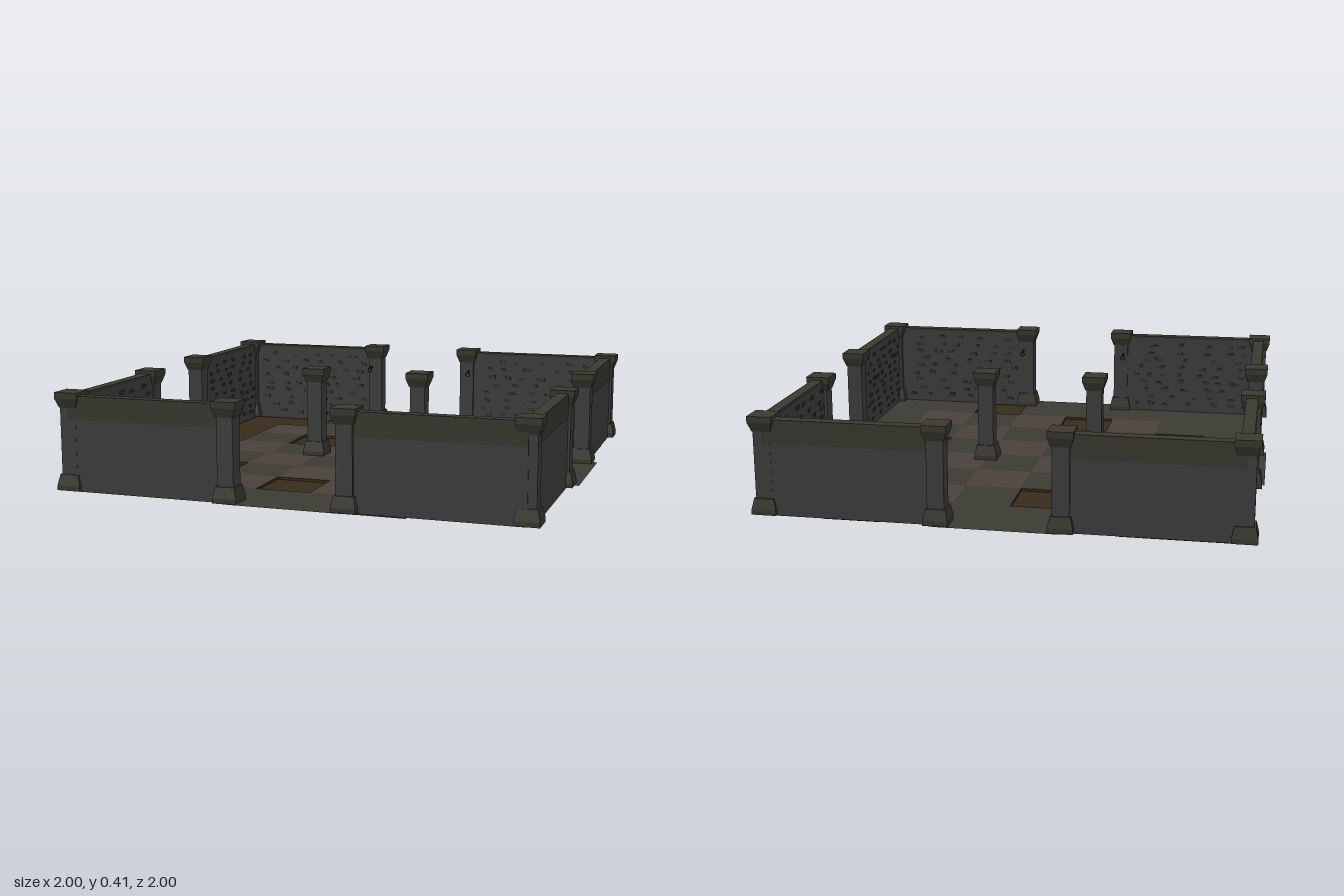
import * as THREE from 'three';
import { mergeGeometries } from 'three/addons/utils/BufferGeometryUtils.js';

const mat = (color, side = THREE.FrontSide) =>
  new THREE.MeshStandardMaterial({ color, side, flatShading: true });
const wallMat = mat(0x404040);
const stoneMat = mat(0x333333);
const trimMat = mat(0x3a3a30);
const metalMat = mat(0x262622);
const slabMat = mat(0x3b3b33, THREE.DoubleSide);
const paleMat = mat(0x4a413c, THREE.DoubleSide);
const dirtMat = mat(0x382b1a, THREE.DoubleSide);

const FLOOR = 0.012, PIT = 0.001;

function mesh(name, geometry, material) {
  const m = new THREE.Mesh(geometry, material);
  m.name = name;
  return m;
}

// box given by its lower and upper limits
function box(x0, x1, y0, y1, z0, z1) {
  return new THREE.BoxGeometry(x1 - x0, y1 - y0, z1 - z0)
    .translate((x0 + x1) / 2, (y0 + y1) / 2, (z0 + z1) / 2);
}

function plane(x0, x1, z0, z1, y) {
  return new THREE.PlaneGeometry(x1 - x0, z1 - z0).rotateX(-Math.PI / 2)
    .translate((x0 + x1) / 2, y, (z0 + z1) / 2);
}

function seeded(seed) {
  return () => (seed = (seed * 16807) % 2147483647) / 2147483647;
}

// square turned solid from [half width, height] pairs
function squareLathe(profile) {
  const pts = profile.map(([r, y]) => new THREE.Vector2(r * Math.SQRT2, y));
  const g = new THREE.LatheGeometry(pts, 4).rotateY(Math.PI / 4).toNonIndexed();
  g.computeVertexNormals();
  return g;
}

const baseGeo = squareLathe([[0, 0.01], [0.05, 0.01], [0.05, 0.03], [0.04, 0.075], [0, 0.075]]);
const shaftGeo = box(-0.034, 0.034, 0.07, 0.355, -0.034, 0.034);
const capGeo = squareLathe([[0, 0.347], [0.037, 0.347], [0.05, 0.385], [0.05, 0.41], [0, 0.41]]);

function pillar(x, z) {
  const g = new THREE.Group();
  g.name = 'pillar';
  g.add(mesh('pillarBase', baseGeo, trimMat), mesh('pillarShaft', shaftGeo, wallMat),
    mesh('pillarCap', capGeo, trimMat));
  g.position.set(x, 0, z);
  return g;
}

// wall running along x with its outer face towards +z
function wall(x0, x1, outer, rand) {
  const g = new THREE.Group();
  g.name = 'wall';
  const inner = outer - 0.046;
  g.add(mesh('wallBody', box(x0, x1, 0.006, 0.385, inner, outer - 0.002), wallMat));
  g.add(mesh('wallTrim', mergeGeometries([
    box(x0, x1, 0.385, 0.397, inner - 0.002, outer),
    box(x0, x1, 0.3, 0.385, outer - 0.004, outer),
  ]), trimMat));
  // raised stones scattered over the inner face
  const stones = [];
  for (let row = 0; row < 9; row++) {
    for (let x = x0 + 0.05 + rand() * 0.06; x < x1 - 0.09; x += 0.06 + rand() * 0.08) {
      const y = 0.035 + row * 0.038 + rand() * 0.01;
      stones.push(box(x, x + 0.02 + rand() * 0.025, y, y + 0.01 + rand() * 0.008,
        inner - 0.004, inner + 0.002));
    }
  }
  g.add(mesh('raisedStones', mergeGeometries(stones), stoneMat));
  return g;
}

function floor() {
  const g = new THREE.Group();
  g.name = 'floor';
  const edge = [-0.95, -0.705, -0.47, -0.237, 0, 0.235, 0.47, 0.705, 0.95];
  // d marks a sunken dirt square
  const plan = ['dd....d.', 'd..d...d', 'd.d.....', '........',
    '......d.', '.d......', '...d....', '.....d..'];
  const isPit = (r, c) => plan[r]?.[c] === 'd';
  const slabs = [], pale = [], dirt = [], rims = [];
  for (let r = 0; r < 8; r++) {
    for (let c = 0; c < 8; c++) {
      const [x0, x1, z0, z1] = [edge[c], edge[c + 1], edge[r], edge[r + 1]];
      if (!isPit(r, c)) {
        const inside = r > 0 && r < 7 && c > 0 && c < 7;
        (inside && (r + c) % 2 === 0 ? pale : slabs).push(plane(x0, x1, z0, z1, FLOOR));
        continue;
      }
      dirt.push(plane(x0, x1, z0, z1, PIT));
      // rim only where the neighbour is at floor level
      const t = 0.002;
      if (!isPit(r - 1, c)) rims.push(box(x0, x1, 0, FLOOR, z0, z0 + t));
      if (!isPit(r + 1, c)) rims.push(box(x0, x1, 0, FLOOR, z1 - t, z1));
      if (!isPit(r, c - 1)) rims.push(box(x0, x0 + t, 0, FLOOR, z0, z1));
      if (!isPit(r, c + 1)) rims.push(box(x1 - t, x1, 0, FLOOR, z0, z1));
    }
  }
  // doorway thresholds
  slabs.push(plane(-0.25, 0.245, -1, -0.95, FLOOR), plane(-0.25, 0.245, 0.95, 1, FLOOR),
    plane(-1, -0.95, -0.25, 0.245, FLOOR), plane(0.95, 1, -0.25, 0.245, FLOOR));
  g.add(mesh('floorSlabs', mergeGeometries(slabs), slabMat),
    mesh('paleTiles', mergeGeometries(pale), paleMat),
    mesh('dirtSquares', mergeGeometries(dirt), dirtMat),
    mesh('dirtRims', mergeGeometries(rims), dirtMat));
  return g;
}

// small hook with a hanging ring on the inner side of a doorway pillar
function hook(x, z, dir) {
  const g = new THREE.Group();
  g.name = 'hook';
  g.add(mesh('hookArm', box(-0.003, 0.003, 0.3, 0.306, -0.025, 0.025), metalMat));
  const ring = mesh('hookRing', new THREE.TorusGeometry(0.01, 0.003, 5, 10), metalMat);
  ring.position.set(0, 0.29, 0.022 * dir);
  g.add(ring);
  g.position.set(x, 0, z);
  return g;
}

export function createModel() {
  const model = new THREE.Group();
  model.name = 'walledCourtyard';
  model.add(floor());

  // two wall runs per side: [turn, outer face, first run, second run]
  const rand = seeded(77);
  const sides = [
    [0, 0.96, [-0.94, -0.25], [0.235, 0.93]],
    [Math.PI, 0.965, [-0.93, -0.235], [0.25, 0.94]],
    [Math.PI / 2, 0.955, [-0.92, -0.24], [0.255, 0.93]],
    [-Math.PI / 2, 0.96, [-0.93, -0.25], [0.245, 0.92]],
  ];
  for (const [turn, outer, ...runs] of sides) {
    for (const [a, b] of runs) {
      const w = wall(a, b, outer, rand);
      w.rotation.y = turn;
      model.add(w);
    }
  }

  // corner, doorway and free-standing pillars
  const spots = [
    [-0.94, -0.93], [0.93, -0.93], [-0.94, 0.925], [0.93, 0.92],
    [-0.25, -0.94], [0.235, -0.94], [-0.25, 0.94], [0.235, 0.94],
    [-0.94, -0.25], [-0.94, 0.245], [0.93, -0.255], [0.93, 0.24],
    [-0.25, -0.045], [0.235, -0.045],
  ];
  for (const [x, z] of spots) model.add(pillar(x, z));

  for (const x of [-0.265, 0.25]) model.add(hook(x, -0.888, 1), hook(x, 0.882, -1));
  return model;
}
